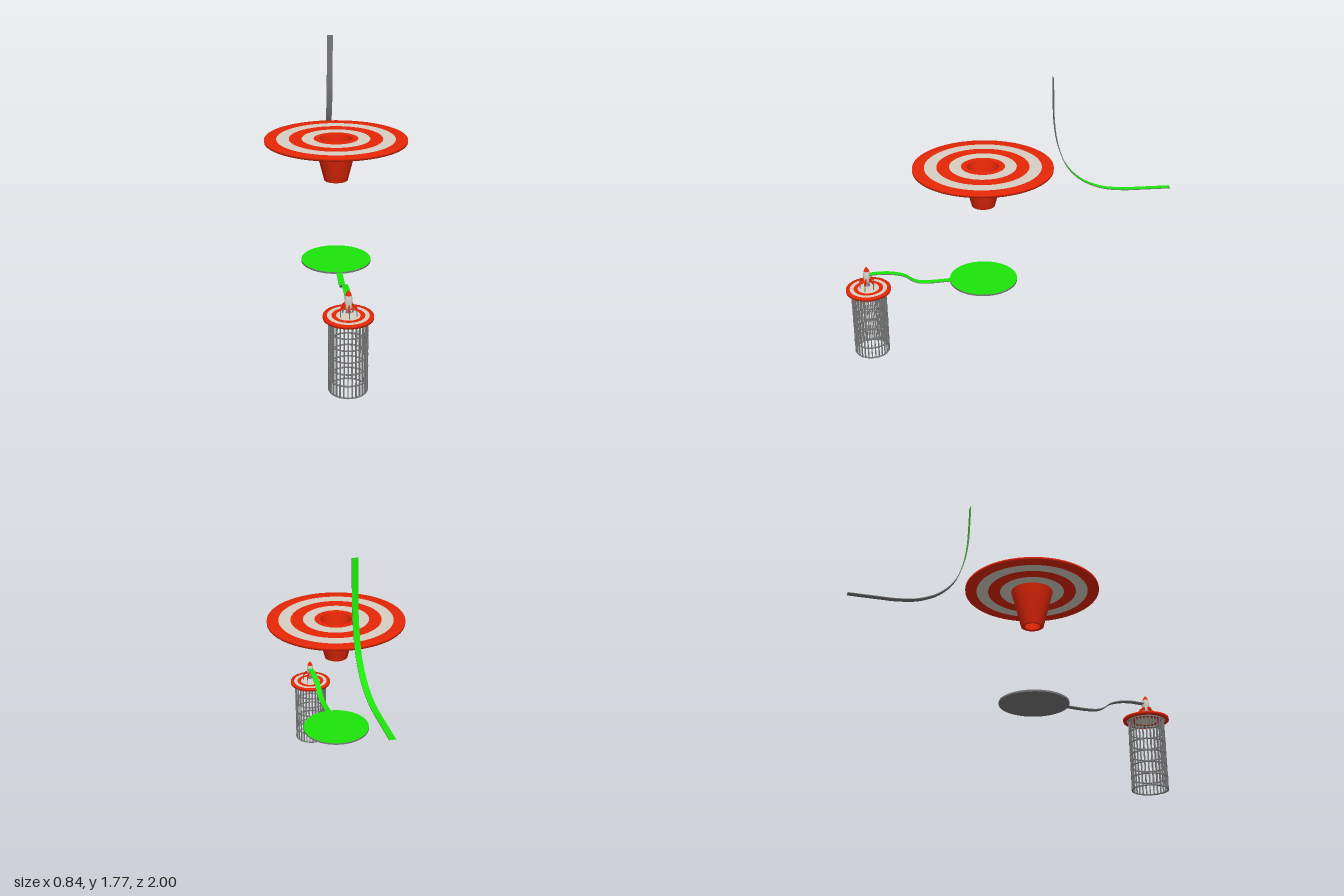
import * as THREE from 'three';
import { mergeGeometries } from 'three/addons/utils/BufferGeometryUtils.js';

const paint = (name, color) => {
  const m = new THREE.MeshStandardMaterial({ color });
  m.name = name;
  return m;
};
const red = paint('red', 0xec2807);
const white = paint('warm white', 0xd8d0c3);
const green = paint('green', 0x1ce60a);
const grey = paint('grey', 0x7a7a7a);

function add(parent, name, geometry, material) {
  const mesh = new THREE.Mesh(geometry, material);
  mesh.name = name;
  parent.add(mesh);
  return mesh;
}

const lathe = (points, segments = 64) =>
  new THREE.LatheGeometry(points.map(([r, y]) => new THREE.Vector2(r, y)), segments);

// Flat plate of concentric bands, radii listed from the rim inwards
function stripedPlate(parent, radii, bottom, top) {
  for (let i = 0; i < radii.length - 1; i++) {
    const outer = radii[i], inner = radii[i + 1];
    const material = i % 2 ? white : red;
    if (i === 0) {
      add(parent, 'rimBand', lathe([[inner, bottom], [outer, bottom], [outer, top], [inner, top]]), material);
    } else {
      add(parent, 'topBand', lathe([[outer, top], [inner, top]]), material);
      add(parent, 'undersideBand', lathe([[inner, bottom], [outer, bottom]]), material);
    }
  }
}

// Sweeps one edge of a ribbon's cross-section along a path in the yz plane
function sweepEdge(curve, [x0, n0], [x1, n1], steps = 60) {
  const positions = [], index = [];
  for (let i = 0; i <= steps; i++) {
    const p = curve.getPointAt(i / steps), t = curve.getTangentAt(i / steps);
    for (const [x, n] of [[x0, n0], [x1, n1]]) {
      positions.push(x, p.y - t.z * n, p.z + t.y * n);
    }
    if (i < steps) {
      const a = i * 2;
      index.push(a, a + 1, a + 2, a + 1, a + 3, a + 2);
    }
  }
  const g = new THREE.BufferGeometry();
  g.setAttribute('position', new THREE.Float32BufferAttribute(positions, 3));
  g.setIndex(index);
  g.computeVertexNormals();
  return g;
}

// Ribbon with a green face and grey back and edges; path given as [z, y]
function ribbon(parent, name, path) {
  const group = new THREE.Group();
  group.name = name;
  parent.add(group);
  const curve = new THREE.CatmullRomCurve3(path.map(([z, y]) => new THREE.Vector3(0, y, z)));
  const w = 0.018, h = 0.0025;
  const c = [[-w, h], [w, h], [w, -h], [-w, -h]];
  add(group, 'ribbonFace', sweepEdge(curve, c[0], c[1]), green);
  add(group, 'ribbonBack', mergeGeometries([1, 2, 3].map(i => sweepEdge(curve, c[i], c[(i + 1) % 4]))), grey);
}

export function createModel() {
  const model = new THREE.Group();
  model.name = 'launchCourse';

  // Large striped target with a hollow funnel
  const target = new THREE.Group();
  target.name = 'funnelTarget';
  target.position.z = 0.14;
  model.add(target);
  stripedPlate(target, [0.418, 0.348, 0.275, 0.2, 0.13], 1.218, 1.233);
  add(target, 'funnelLip', lathe([[0.13, 1.233], [0.095, 1.233]]), red);
  add(target, 'funnelInside', lathe([[0.095, 1.233], [0.047, 0.98]]), red);
  add(target, 'funnelOutside', lathe([[0.047, 0.98], [0.07, 0.98], [0.13, 1.218]]), red);

  // Landing pad
  const pad = add(model, 'landingPad', new THREE.CylinderGeometry(0.21, 0.21, 0.011, 64), [grey, green, grey]);
  pad.position.set(0, 0.474, 0.145);

  // Ribbons
  ribbon(model, 'upperRibbon', [
    [-0.268, 1.768], [-0.272, 1.63], [-0.28, 1.49], [-0.305, 1.35], [-0.36, 1.215],
    [-0.45, 1.122], [-0.57, 1.066], [-0.7, 1.046], [-0.82, 1.044], [-1, 1.044]]);
  ribbon(model, 'lowerRibbon', [
    [0.85, 0.545], [0.77, 0.549], [0.7, 0.543], [0.63, 0.522], [0.58, 0.487],
    [0.54, 0.473], [0.46, 0.47], [0.36, 0.475], [0.33, 0.4755]]);

  // Tower with a striped platform
  const tower = new THREE.Group();
  tower.name = 'launchTower';
  tower.position.z = 0.86;
  model.add(tower);
  stripedPlate(tower, [0.138, 0.115, 0.091, 0.066, 0], 0.434, 0.449);

  const bars = 30, cageRadius = 0.106;
  for (let i = 0; i < bars; i++) {
    const a = (i + 0.5) / bars * Math.PI * 2;
    const bar = add(tower, 'cageBar', new THREE.BoxGeometry(0.007, 0.434, 0.006), grey);
    bar.position.set(Math.sin(a) * cageRadius, 0.217, Math.cos(a) * cageRadius);
    bar.rotation.y = a;
  }
  for (let i = 0; i < 7; i++) {
    const ring = add(tower, 'cageRing', new THREE.TorusGeometry(cageRadius, 0.0045, 6, 48), grey);
    ring.rotation.x = Math.PI / 2;
    ring.position.y = 0.0045 + i * 0.0711;
  }

  // Rocket
  const rocket = new THREE.Group();
  rocket.name = 'rocket';
  rocket.position.z = 0.005;
  tower.add(rocket);
  add(rocket, 'rocketBody', lathe([[0, 0.484], [0.014, 0.485], [0.019, 0.503], [0.022, 0.53], [0.021, 0.55], [0.017, 0.57]], 24), white);
  add(rocket, 'noseCone', lathe([[0.017, 0.57], [0.012, 0.583], [0.005, 0.594], [0, 0.597]], 24), red);
  const nozzle = add(rocket, 'nozzle', new THREE.CylinderGeometry(0.01, 0.016, 0.018, 24), grey);
  nozzle.position.y = 0.477;

  // Five swept fins standing on thin legs
  const fin = new THREE.Shape();
  fin.moveTo(0.014, 0.522);
  fin.quadraticCurveTo(0.044, 0.522, 0.05, 0.488);
  fin.lineTo(0.043, 0.488);
  fin.quadraticCurveTo(0.038, 0.503, 0.014, 0.5);
  const finGeometry = new THREE.ExtrudeGeometry(fin, { depth: 0.007, bevelEnabled: false, curveSegments: 8 });
  finGeometry.translate(0, 0, -0.0035);
  for (let i = 0; i < 5; i++) {
    const arm = new THREE.Group();
    arm.name = 'finAndLeg';
    arm.rotation.y = -Math.PI / 2 + i / 5 * Math.PI * 2;
    rocket.add(arm);
    add(arm, 'fin', finGeometry, red);
    const leg = add(arm, 'leg', new THREE.CylinderGeometry(0.003, 0.003, 0.042, 8), grey);
    leg.position.set(0.0465, 0.469, 0);
  }
  return model;
}
